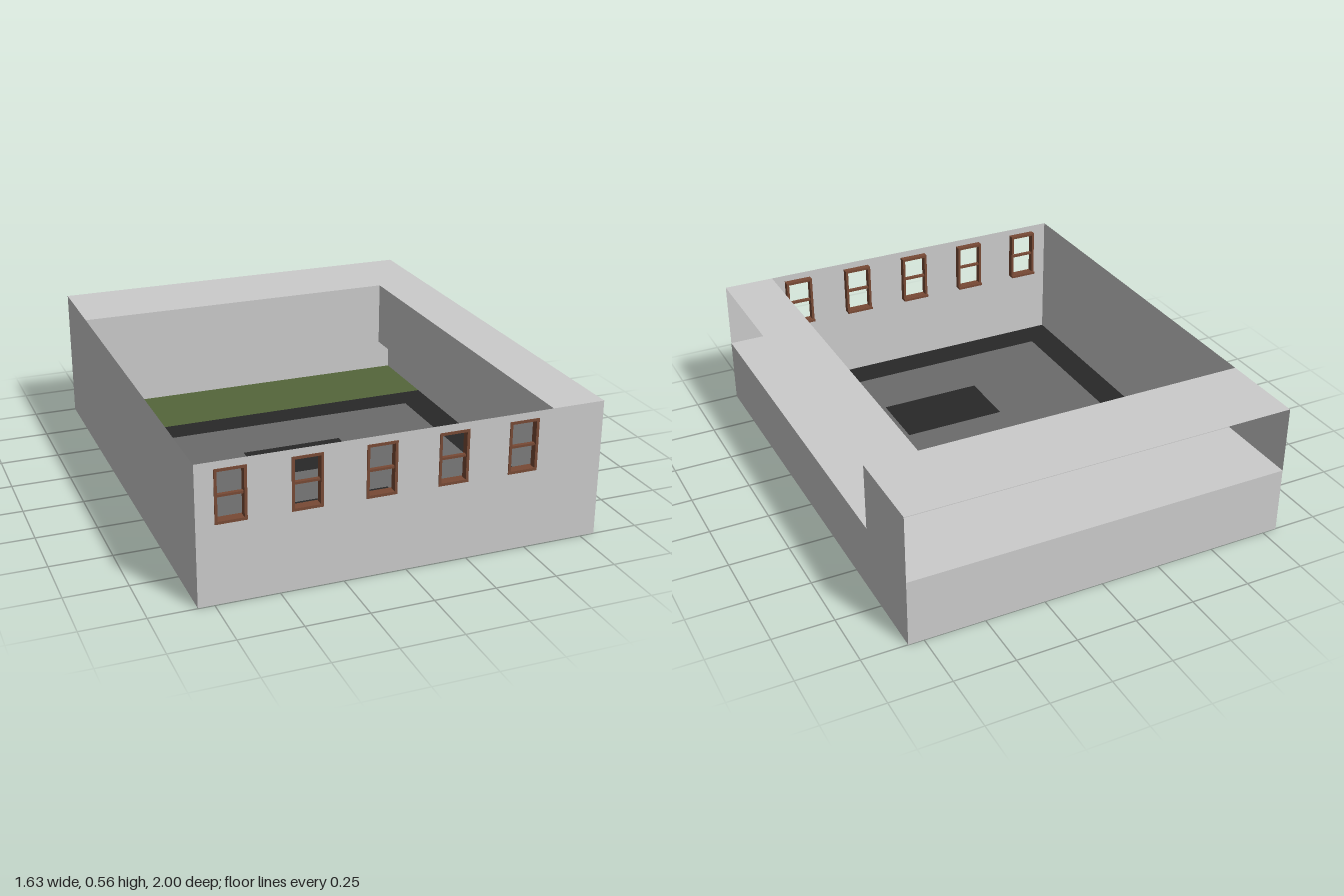
import * as THREE from 'three';

const W = 0.813, H = 0.563, LEDGE = 0.281; // half width, height, ledge height
const BACK = -1, FRONT = 0.997;            // outer wall planes
const IN_X = 0.595, IN_Z = -0.632;         // inner edges of the L-shaped upper storey

const mat = (color) => new THREE.MeshStandardMaterial({ color, side: THREE.DoubleSide });

// outline of an axis-aligned rectangle
function rect(x0, y0, x1, y1, Type = THREE.Shape) {
  const p = new Type();
  p.moveTo(x0, y0).lineTo(x1, y0).lineTo(x1, y1).lineTo(x0, y1).closePath();
  return p;
}

function withHoles(shape, holes) {
  shape.holes.push(...holes);
  return shape;
}

export function createModel() {
  const model = new THREE.Group();
  const grey = mat(0xcccccc), black = mat(0x282828), paving = mat(0x6b6b6b);
  const grass = mat(0x54663a), wood = mat(0x784a35);

  // thin sheet: axis is its normal, at is its place along that axis
  function sheet(name, shape, axis, at, material = grey) {
    const g = new THREE.ShapeGeometry(shape);
    if (axis === 'y') g.rotateX(Math.PI / 2);  // shape drawn in x, z
    if (axis === 'x') g.rotateY(-Math.PI / 2); // shape drawn in z, y
    const mesh = new THREE.Mesh(g, material);
    mesh.name = name;
    mesh.position[axis] = at;
    model.add(mesh);
  }

  // floor: grass strip, dark border, paving and two dark patches
  const pave = [-0.683, -0.5, 0.683, 0.862];
  const patches = [[-0.228, -0.228, 0.228, 0.045], [-0.228, 0.318, 0.228, 0.59]];
  const P = THREE.Path;
  sheet('grassStrip', rect(-W, BACK, W, IN_Z), 'y', 0, grass);
  sheet('floorBorder', withHoles(rect(-W, IN_Z, W, FRONT), [rect(...pave, P)]), 'y', 0, black);
  sheet('paving', withHoles(rect(...pave), patches.map((p) => rect(...p, P))), 'y', 0, paving);
  patches.forEach((p) => sheet('floorPatch', rect(...p), 'y', 0, black));

  // L-shaped ledge and roof
  const ell = new THREE.Shape([
    [-W, BACK], [W, BACK], [W, FRONT], [IN_X, FRONT], [IN_X, IN_Z], [-W, IN_Z],
  ].map(([x, z]) => new THREE.Vector2(x, z)));
  sheet('ledge', ell, 'y', LEDGE);
  sheet('roof', ell, 'y', H);

  // outer walls, with open galleries above the ledge at the side and back
  sheet('rightWall', rect(BACK, 0, FRONT, H), 'x', -W);
  sheet('backWall', rect(-W, 0, W, LEDGE), 'z', BACK);
  sheet('leftWall', rect(BACK, 0, FRONT, LEDGE), 'x', W);
  sheet('leftCornerWall', rect(BACK, LEDGE, IN_Z, H), 'x', W);

  // inner walls between galleries and courtyard
  sheet('innerSideWall', rect(IN_Z, LEDGE, FRONT, H), 'x', IN_X);
  sheet('innerBackWall', rect(-W, LEDGE, W, H), 'z', IN_Z);

  // front wall with five window openings
  const centres = [0, 1, 2, 3, 4].map((i) => -0.681 + i * 0.289);
  const y0 = 0.32, y1 = 0.534, hw = 0.061, t = 0.011;
  const openings = centres.map((x) => rect(x - hw + t, y0 + t, x + hw - t, y1 - t, P));
  sheet('frontWall', withHoles(rect(-W, 0, W, H), openings), 'z', FRONT);

  // windows: deep frame, middle rail and inner sill
  const frameShape = withHoles(rect(-hw, y0, hw, y1), [rect(-hw + t, y0 + t, hw - t, y1 - t, P)]);
  const frameGeo = new THREE.ExtrudeGeometry(frameShape, { depth: 0.03, bevelEnabled: false });
  const railGeo = new THREE.BoxGeometry(2 * (hw - t), 0.009, 0.016);
  const sillGeo = new THREE.BoxGeometry(2 * hw, 0.01, 0.012);
  for (const x of centres) {
    const win = new THREE.Group();
    win.name = 'window';
    const add = (name, geo, y, z) => {
      const m = new THREE.Mesh(geo, wood);
      m.name = name;
      m.position.set(0, y, z);
      win.add(m);
    };
    add('windowFrame', frameGeo, 0, 0.97);
    add('windowRail', railGeo, (y0 + y1) / 2, 0.985);
    add('windowSill', sillGeo, y0 + 0.005, 0.965);
    win.position.x = x;
    model.add(win);
  }
  return model;
}
